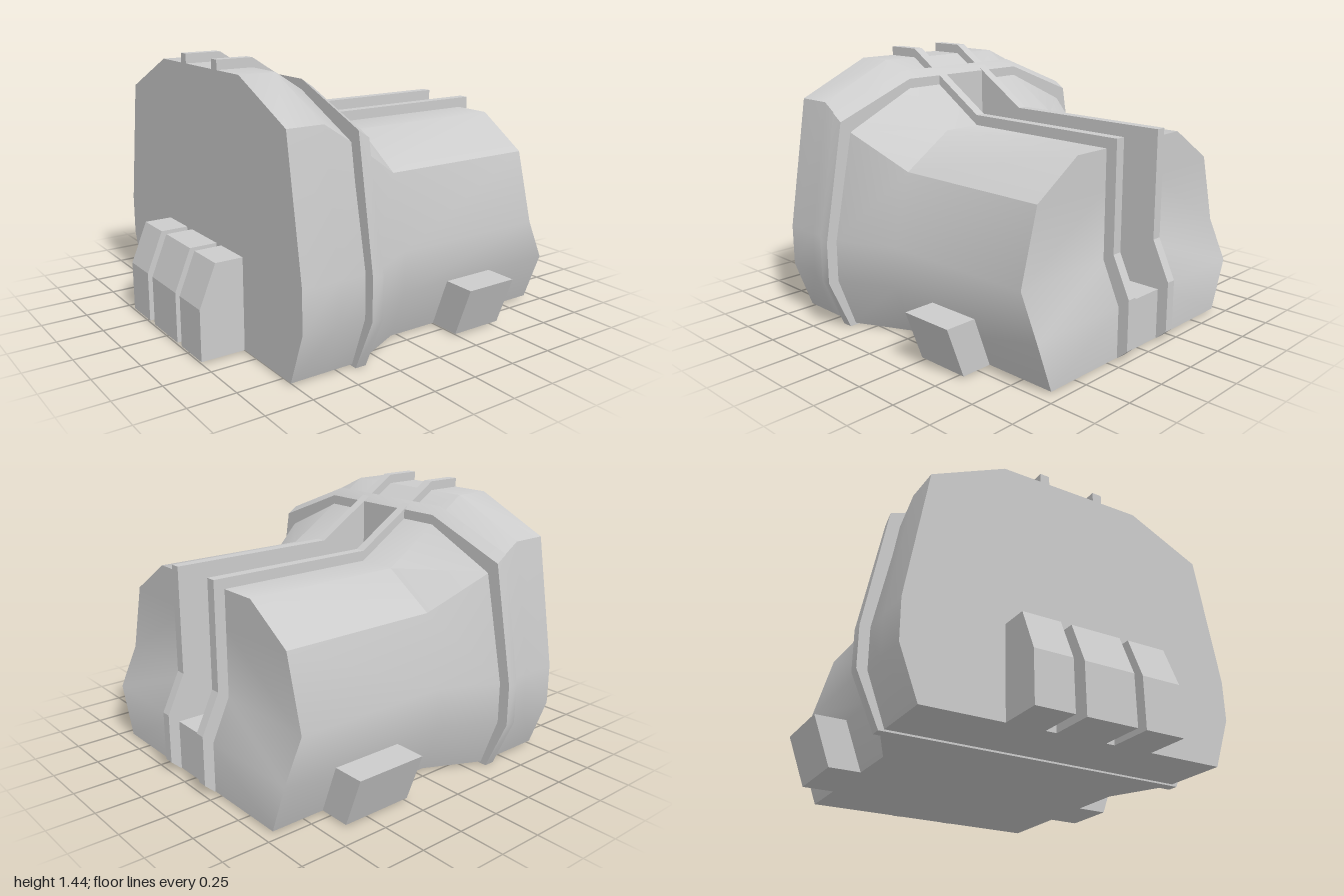
import * as THREE from 'three';
import { toCreasedNormals } from 'three/addons/utils/BufferGeometryUtils.js';

const CZ = -0.01; // middle plane of the housing
const material = new THREE.MeshStandardMaterial({ color: 0xcccccc });

function addMesh(parent, name, geometry) {
  const mesh = new THREE.Mesh(geometry, material);
  mesh.name = name;
  parent.add(mesh);
  return mesh;
}

// Loft along x. Each section is a list of rungs, bottom to top: [x, y, innerZ, outerZ].
function loft(sections, side = 1) {
  const pos = [];
  const quad = (a, b, c, d) => {
    const order = side > 0 ? [a, b, c, a, c, d] : [a, c, b, a, d, c];
    for (const p of order) pos.push(p[0], p[1], CZ + side * p[2]);
  };
  const loops = sections.map((s) => [
    ...s.map(([x, y, , o]) => [x, y, o]),
    ...s.map(([x, y, i]) => [x, y, i]).reverse(),
  ]);
  const n = loops[0].length;
  for (let k = 0; k < loops.length - 1; k++) {
    const a = loops[k], b = loops[k + 1];
    for (let i = 0; i < n; i++) {
      const j = (i + 1) % n;
      quad(a[i], b[i], b[j], a[j]);
    }
  }
  const a = loops[0], b = loops[loops.length - 1];
  for (let i = 0; i < n / 2 - 1; i++) {
    const p = n - 1 - i, q = n - 2 - i;
    quad(a[i], a[i + 1], a[q], a[p]);
    quad(b[i], b[p], b[q], b[i + 1]);
  }
  const g = new THREE.BufferGeometry();
  g.setAttribute('position', new THREE.Float32BufferAttribute(pos, 3));
  return toCreasedNormals(g, 0.62);
}

// Plate with an x-y outline, running from z0 to z1
function plate(points, z0, z1) {
  const shape = new THREE.Shape(points.map(([x, y]) => new THREE.Vector2(x, y)));
  const g = new THREE.ExtrudeGeometry(shape, { depth: z1 - z0, bevelEnabled: false });
  return g.translate(0, 0, z0);
}

// Half of the housing cross-section
function halfSection(x, width, corner, foot, cornerY, topY, lowX = x) {
  const inner = 0.165;
  return [
    [lowX, 0.01, inner, foot],
    [lowX, 0.28, inner, width],
    [x, 0.5, inner, width],
    [x, cornerY, inner, corner],
    [x, topY, inner, 0.41],
  ];
}

// Full-width cross-section of the raised band
function bandSection(x, drop) {
  const rungs = [[0, 0.87], [0.28, 0.995], [0.5, 0.995], [1.165 - drop, 0.875], [1.345 - drop, 0.41]];
  return rungs.map(([y, z]) => [x, y, -z, z]);
}

export function createModel() {
  const model = new THREE.Group();
  model.name = 'housing';

  const sections = [
    halfSection(-0.76, 0.94, 0.82, 0.84, 1.2, 1.39),
    halfSection(-0.56, 0.94, 0.82, 0.84, 1.2, 1.39),
    halfSection(-0.36, 0.94, 0.82, 0.84, 1.07, 1.26),
    halfSection(-0.05, 0.79, 0.685, 0.69, 0.88, 1.06),
    halfSection(0.84, 0.79, 0.685, 0.69, 0.88, 1.06, 0.94),
  ];

  const railOutline = [
    [-0.76, 0.01], [0.945, 0.01], [1, 0.06], [1, 0.33], [0.9, 0.54],
    [0.9, 1.115], [-0.05, 1.115], [-0.56, 1.44], [-0.76, 1.44],
  ];

  for (const side of [1, -1]) {
    const label = side > 0 ? 'front' : 'back';
    addMesh(model, label + 'BodyHalf', loft(sections, side));

    // Rail plate lining the central slot
    const z = CZ + side * 0.1675;
    addMesh(model, label + 'Rail', plate(railOutline, z - 0.0275, z + 0.0275));

    // Foot block, its outer face leaning in towards the base
    const length = side > 0 ? 0.3 : 0.4;
    const foot = new THREE.BoxGeometry(length, 0.27, 0.365);
    foot.translate(0.24 + length / 2, 0.145, CZ + side * 0.7825);
    const p = foot.attributes.position;
    for (let i = 0; i < p.count; i++) {
      if (p.getY(i) < 0.1) p.setZ(i, p.getZ(i) - side * 0.1);
    }
    foot.computeVertexNormals();
    addMesh(model, label + 'FootBlock', foot);
  }

  // Centre web: solid at the tall end, low floor along the slot
  addMesh(model, 'centreWeb', plate([
    [-0.76, 0.01], [0.94, 0.01], [0.94, 0.28], [-0.35, 0.28],
    [-0.35, 1.255], [-0.56, 1.39], [-0.76, 1.39],
  ], CZ - 0.15, CZ + 0.15));

  // Raised band around the shoulder
  addMesh(model, 'band', loft([bandSection(-0.41, 0), bandSection(-0.35, 0.04)]));

  // Three stepped lugs on the tall end
  const lugOutline = [[-1, 0.01], [-0.6, 0.01], [-0.6, 0.5], [-0.91, 0.5], [-1, 0.28]];
  for (const [z0, z1] of [[-0.41, -0.2], [-0.14, 0.14], [0.19, 0.41]]) {
    addMesh(model, 'endLug', plate(lugOutline, CZ + z0, CZ + z1));
  }

  return model;
}
